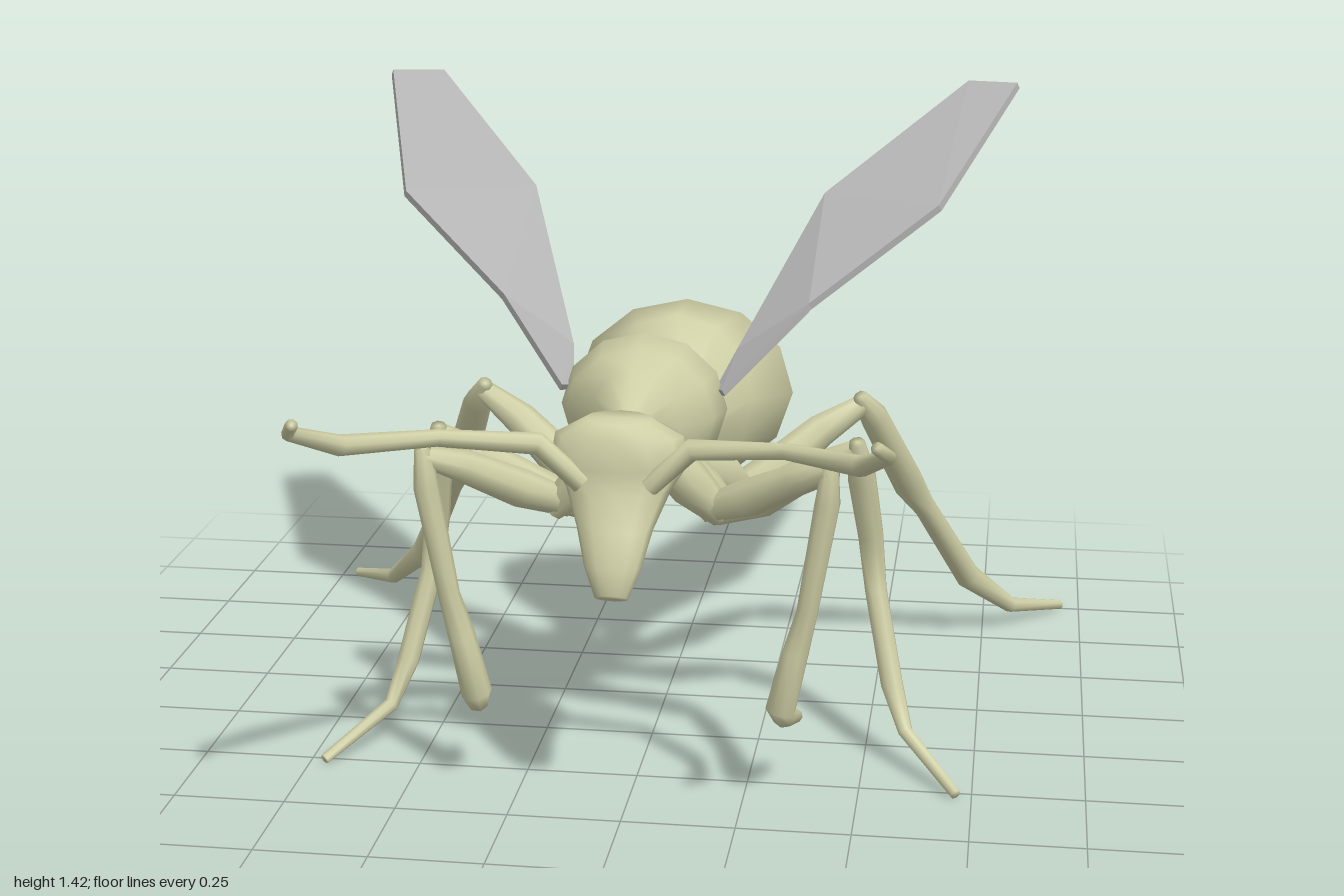
import * as THREE from 'three';

const V = (x, y, z) => new THREE.Vector3(x, y, z);

// Skin a list of equal-sized point rings, close both ends, and face it outwards.
function loft(rings) {
  const n = rings[0].length, pos = [], idx = [];
  rings.forEach(r => r.forEach(p => pos.push(p.x, p.y, p.z)));
  for (let i = 0; i < rings.length - 1; i++) {
    for (let j = 0; j < n; j++) {
      const k = (j + 1) % n, a = i * n + j, b = i * n + k;
      idx.push(a, b, a + n, b, b + n, a + n);
    }
  }
  [0, rings.length - 1].forEach(i => {
    const c = rings[i].reduce((s, p) => s.add(p), V(0, 0, 0)).divideScalar(n);
    const ci = pos.length / 3;
    pos.push(c.x, c.y, c.z);
    for (let j = 0; j < n; j++) {
      const a = i * n + j, b = i * n + (j + 1) % n;
      if (i === 0) idx.push(ci, b, a); else idx.push(ci, a, b);
    }
  });
  const at = i => V(pos[i * 3], pos[i * 3 + 1], pos[i * 3 + 2]);
  let volume = 0;
  for (let i = 0; i < idx.length; i += 3) {
    volume += at(idx[i]).dot(at(idx[i + 1]).cross(at(idx[i + 2])));
  }
  if (volume < 0) idx.reverse();
  const g = new THREE.BufferGeometry();
  g.setAttribute('position', new THREE.Float32BufferAttribute(pos, 3));
  g.setIndex(idx);
  g.computeVertexNormals();
  return g;
}

// Body section: [top z, top y, bottom z, bottom y, half width]
function bodyGeometry(sections, sides = 12) {
  return loft(sections.map(([zt, yt, zb, yb, rx]) => {
    const ring = [];
    for (let j = 0; j < sides; j++) {
      const a = j / sides * Math.PI * 2, t = (1 - Math.cos(a)) / 2;
      ring.push(V(rx * Math.sin(a), yt + (yb - yt) * t, zt + (zb - zt) * t));
    }
    return ring;
  }));
}

// Tapered limb through points [x, y, z, radius]; side is +1 or -1
function limbGeometry(points, side, sides = 8) {
  const p = points.map(q => V(q[0] * side, q[1], q[2]));
  let u = V(0.31, 0.2, 0.93);
  return loft(p.map((c, i) => {
    const t = p[Math.min(i + 1, p.length - 1)].clone().sub(p[Math.max(i - 1, 0)]).normalize();
    u = u.clone().addScaledVector(t, -u.dot(t)).normalize();
    const w = t.clone().cross(u);
    return Array.from({ length: sides }, (_, j) => {
      const a = j / sides * Math.PI * 2, r = points[i][3];
      return c.clone().addScaledVector(u, r * Math.cos(a)).addScaledVector(w, r * Math.sin(a));
    });
  }));
}

const HEAD = [
  [0.455, 0.915, 0.535, 0.905, 0.07], [0.425, 0.875, 0.565, 0.875, 0.135],
  [0.425, 0.82, 0.565, 0.81, 0.145], [0.45, 0.76, 0.57, 0.76, 0.11],
  [0.515, 0.69, 0.605, 0.69, 0.08], [0.56, 0.61, 0.625, 0.62, 0.06],
  [0.59, 0.54, 0.63, 0.565, 0.035],
];
const THORAX = [
  [0.48, 0.89, 0.48, 0.83, 0.03], [0.41, 0.905, 0.41, 0.825, 0.04],
  [0.3, 0.965, 0.3, 0.7, 0.1], [0.21, 0.985, 0.2, 0.68, 0.165],
  [0.12, 1.0, 0.14, 0.67, 0.185], [0.05, 0.965, 0.06, 0.65, 0.15],
  [0, 0.87, -0.01, 0.64, 0.105], [-0.085, 0.805, -0.1, 0.62, 0.1],
  [-0.14, 0.71, -0.14, 0.625, 0.065], [-0.2, 0.7, -0.2, 0.63, 0.045],
];
const ABDOMEN = [
  [-0.17, 0.7, -0.17, 0.63, 0.04], [-0.225, 0.755, -0.25, 0.6, 0.07],
  [-0.42, 0.91, -0.36, 0.52, 0.19], [-0.63, 0.9, -0.5, 0.475, 0.27],
  [-0.77, 0.74, -0.67, 0.425, 0.21], [-0.835, 0.47, -0.77, 0.385, 0.08],
  [-0.83, 0.385, -0.8, 0.372, 0.02],
];

// Each leg: hip to first joint, thigh, then shin and foot
const LEGS = {
  front: {
    Hip: [[0.05, 0.79, 0.28, 0.05], [0.12, 0.69, 0.24, 0.05], [0.19, 0.62, 0.23, 0.03]],
    Thigh: [[0.15, 0.63, 0.22, 0.03], [0.25, 0.68, 0.28, 0.043], [0.36, 0.75, 0.36, 0.036], [0.44, 0.79, 0.425, 0.022]],
    Shin: [[0.435, 0.805, 0.425, 0.018], [0.43, 0.72, 0.42, 0.028], [0.39, 0.47, 0.4, 0.024],
      [0.365, 0.37, 0.39, 0.03], [0.335, 0.24, 0.39, 0.034], [0.34, 0.21, 0.36, 0.026], [0.36, 0.18, 0.28, 0.015]],
  },
  middle: {
    Hip: [[0.05, 0.7, 0.08, 0.055], [0.12, 0.62, 0.03, 0.05], [0.18, 0.55, 0, 0.03]],
    Thigh: [[0.14, 0.55, 0, 0.03], [0.25, 0.6, 0.03, 0.045], [0.38, 0.69, 0.07, 0.036], [0.48, 0.75, 0.1, 0.022]],
    Shin: [[0.47, 0.765, 0.11, 0.018], [0.48, 0.68, 0.075, 0.033], [0.5, 0.52, 0.01, 0.03], [0.515, 0.39, 0.015, 0.026],
      [0.56, 0.19, 0.085, 0.026], [0.595, 0.09, 0.12, 0.017], [0.715, 0.013, 0.28, 0.012]],
  },
  rear: {
    Hip: [[0.05, 0.68, -0.04, 0.055], [0.14, 0.6, -0.13, 0.06], [0.19, 0.53, -0.22, 0.035]],
    Thigh: [[0.15, 0.53, -0.2, 0.035], [0.24, 0.57, -0.25, 0.05], [0.36, 0.67, -0.3, 0.04], [0.46, 0.73, -0.34, 0.024]],
    Shin: [[0.45, 0.75, -0.32, 0.018], [0.48, 0.69, -0.37, 0.035], [0.56, 0.48, -0.53, 0.04], [0.6, 0.4, -0.59, 0.028],
      [0.71, 0.17, -0.745, 0.032], [0.82, 0.06, -0.85, 0.02], [0.95, 0.017, -0.99, 0.012]],
  },
};
const ANTENNA = [
  [0.07, 0.78, 0.55, 0.022], [0.16, 0.865, 0.555, 0.024], [0.36, 0.885, 0.61, 0.018],
  [0.52, 0.915, 0.79, 0.022], [0.58, 0.98, 0.94, 0.015], [0.56, 1.01, 0.985, 0.013],
];
// Wing stations: inner edge point, outer edge point
const WING = [
  [[0.16, 0.87, 0.12], [0.18, 0.88, 0.165]], [[0.19, 0.92, -0.05], [0.35, 1.03, -0.05]],
  [[0.35, 1.2, -0.47], [0.625, 1.215, -0.28]], [[0.67, 1.405, -0.925], [0.79, 1.41, -0.87]],
];

// Thin faceted wing blade
function wingGeometry(side) {
  const up = V(-0.35 * side, 0.8, 0.45).normalize().multiplyScalar(0.009);
  const g = loft(WING.map(([a, b]) => {
    const p = V(a[0] * side, a[1], a[2]), q = V(b[0] * side, b[1], b[2]);
    return [p.clone().add(up), q.clone().add(up), q.clone().sub(up), p.clone().sub(up)];
  })).toNonIndexed();
  g.computeVertexNormals();
  return g;
}

export function createModel() {
  const model = new THREE.Group();
  model.name = 'wingedInsect';
  const shell = new THREE.MeshStandardMaterial({ color: 0xcfcfa6 });
  shell.name = 'paleOliveShell';
  const membrane = new THREE.MeshStandardMaterial({ color: 0xb4b4b4, flatShading: true });
  membrane.name = 'greyWing';

  const add = (name, geometry, material, parent = model) => {
    const mesh = new THREE.Mesh(geometry, material);
    mesh.name = name;
    parent.add(mesh);
  };

  add('head', bodyGeometry(HEAD), shell);
  add('thorax', bodyGeometry(THORAX), shell);
  add('abdomen', bodyGeometry(ABDOMEN), shell);

  // Paired parts
  for (const [label, side] of [['left', 1], ['right', -1]]) {
    add(label + 'Antenna', limbGeometry(ANTENNA, side), shell);
    add(label + 'Wing', wingGeometry(side), membrane);
    for (const [place, parts] of Object.entries(LEGS)) {
      const leg = new THREE.Group();
      leg.name = `${label} ${place} leg`;
      for (const [part, points] of Object.entries(parts)) {
        add(place + part, limbGeometry(points, side), shell, leg);
      }
      model.add(leg);
    }
  }
  return model;
}
